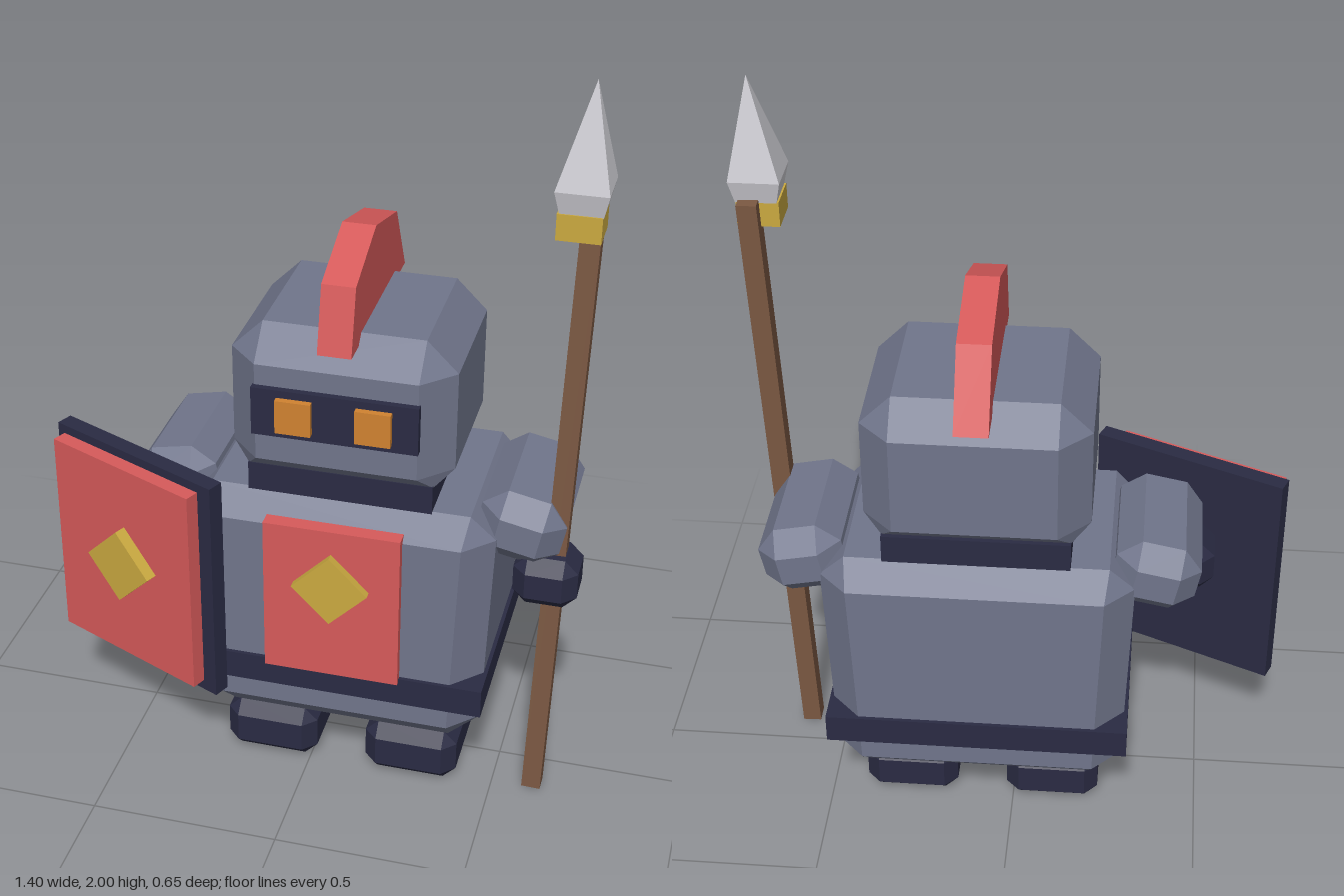
import * as THREE from 'three';
import { ConvexGeometry } from 'three/addons/geometries/ConvexGeometry.js';

const paint = (name, color) => {
  const m = new THREE.MeshStandardMaterial({ color });
  m.name = name;
  return m;
};

// Box with bevelled edges and corners; the bevel may differ at top and bottom, and the base may taper.
function bevelBox(w, h, d, bevel, top = bevel, bottom = bevel, taper = 1) {
  const pts = [];
  for (const sx of [-1, 1]) for (const sy of [-1, 1]) for (const sz of [-1, 1]) {
    const by = sy > 0 ? top : bottom;
    const k = sy > 0 ? 1 : taper;
    const x = w / 2 * k, y = h / 2, z = d / 2;
    pts.push(
      new THREE.Vector3(sx * x, sy * (y - by), sz * (z - bevel)),
      new THREE.Vector3(sx * (x - bevel), sy * (y - by), sz * z),
      new THREE.Vector3(sx * (x - Math.max(by, bevel * 0.6)), sy * y, sz * (z - Math.max(by, bevel * 0.6)))
    );
  }
  return new ConvexGeometry(pts);
}

export function createModel() {
  const steel = paint('steel', 0x70758b);
  const navy = paint('navy', 0x2a2b43);
  const red = paint('red', 0xd65a5a);
  const gold = paint('gold', 0xcaa940);
  const orange = paint('orange', 0xd08230);
  const wood = paint('wood', 0x7b5842);
  const blade = paint('blade', 0xcbcad0);

  const model = new THREE.Group();
  model.name = 'knight';
  const add = (name, geometry, material, x, y, z, parent = model) => {
    const mesh = new THREE.Mesh(geometry, material);
    mesh.name = name;
    mesh.position.set(x, y, z);
    parent.add(mesh);
    return mesh;
  };
  const box = (w, h, d) => new THREE.BoxGeometry(w, h, d);
  const cx = 0.086; // middle of the body

  // Torso, belt and neck
  add('torso', bevelBox(0.8, 0.705, 0.56, 0.075, 0.065, 0.085, 0.95), steel, cx, 0.515, -0.04);
  add('belt', box(0.79, 0.08, 0.58), navy, cx, 0.35, -0.04);
  add('neck', box(0.475, 0.09, 0.44), navy, cx, 0.895, -0.04);

  // Chest plate with emblem
  add('chestPlate', box(0.355, 0.44, 0.05), red, cx, 0.6, 0.238);
  add('chestDiamond', box(0.14, 0.14, 0.03), gold, cx, 0.655, 0.27).rotation.z = Math.PI / 4;

  // Helmet, visor and eyes
  add('helmet', bevelBox(0.57, 0.39, 0.51, 0.08, 0.08, 0.045), steel, cx, 1.13, -0.035);
  add('visor', box(0.42, 0.13, 0.03), navy, cx, 1.125, 0.222);
  for (const s of [-1, 1]) add('eye', box(0.09, 0.09, 0.02), orange, cx + s * 0.1, 1.125, 0.244);

  // Helmet crest, an extruded side profile
  const profile = new THREE.Shape([
    [0.235, 1.3], [0.195, 1.47], [0, 1.545], [-0.22, 1.487], [-0.325, 1.295]
  ].map(([z, y]) => new THREE.Vector2(-z, y)));
  const crest = new THREE.ExtrudeGeometry(profile, { depth: 0.085, bevelEnabled: false });
  crest.translate(0, 0, -0.0425).rotateY(Math.PI / 2);
  add('crest', crest, red, cx, 0, 0);

  // Arms, hands and feet, mirrored
  for (const s of [-1, 1]) {
    const side = s > 0 ? 'left' : 'right';
    add(side + 'Arm', bevelBox(0.22, 0.19, 0.405, 0.055), steel, cx + s * 0.45, 0.81, -0.045).rotation.z = -s * 0.2;
    add(side + 'Hand', bevelBox(0.165, 0.14, 0.16, 0.035), navy, cx + s * 0.522, 0.672, 0.077);
    add(side + 'Foot', bevelBox(0.25, 0.152, 0.38, 0.035), navy, cx + s * 0.193, 0.08, -0.01);
  }

  // Shield, turned outwards
  const shield = new THREE.Group();
  shield.name = 'shield';
  shield.position.set(-0.448, 0.602, 0.178);
  shield.rotation.y = -0.414;
  model.add(shield);
  add('shieldBack', box(0.53, 0.64, 0.045), navy, 0, 0, 0, shield);
  add('shieldFace', box(0.467, 0.585, 0.04), red, -0.01, 0.003, 0.042, shield);
  add('shieldDiamond', box(0.15, 0.15, 0.035), gold, -0.003, 0.013, 0.077, shield).rotation.z = Math.PI / 4;

  // Spear: leaning shaft, collar and four-sided head
  const foot = new THREE.Vector3(0.607, 0.002, 0.102);
  const tip = new THREE.Vector3(0.655, 1.7, 0.043);
  const axis = tip.clone().sub(foot);
  const middle = foot.clone().add(tip).multiplyScalar(0.5);
  const shaft = add('spearShaft', box(0.05, axis.length(), 0.05), wood, middle.x, middle.y, middle.z);
  shaft.quaternion.setFromUnitVectors(new THREE.Vector3(0, 1, 0), axis.normalize());
  add('spearCollar', box(0.105, 0.065, 0.105), gold, 0.634, 1.662, 0.102);
  const head = [new THREE.Vector3(0.01, 0.31, 0)];
  for (const sx of [-1, 1]) for (const sz of [-1, 1]) {
    head.push(new THREE.Vector3(sx * 0.05, 0, sz * 0.05), new THREE.Vector3(sx * 0.063, 0.06, sz * 0.063));
  }
  add('spearHead', new ConvexGeometry(head), blade, 0.637, 1.69, 0.1);

  return model;
}
